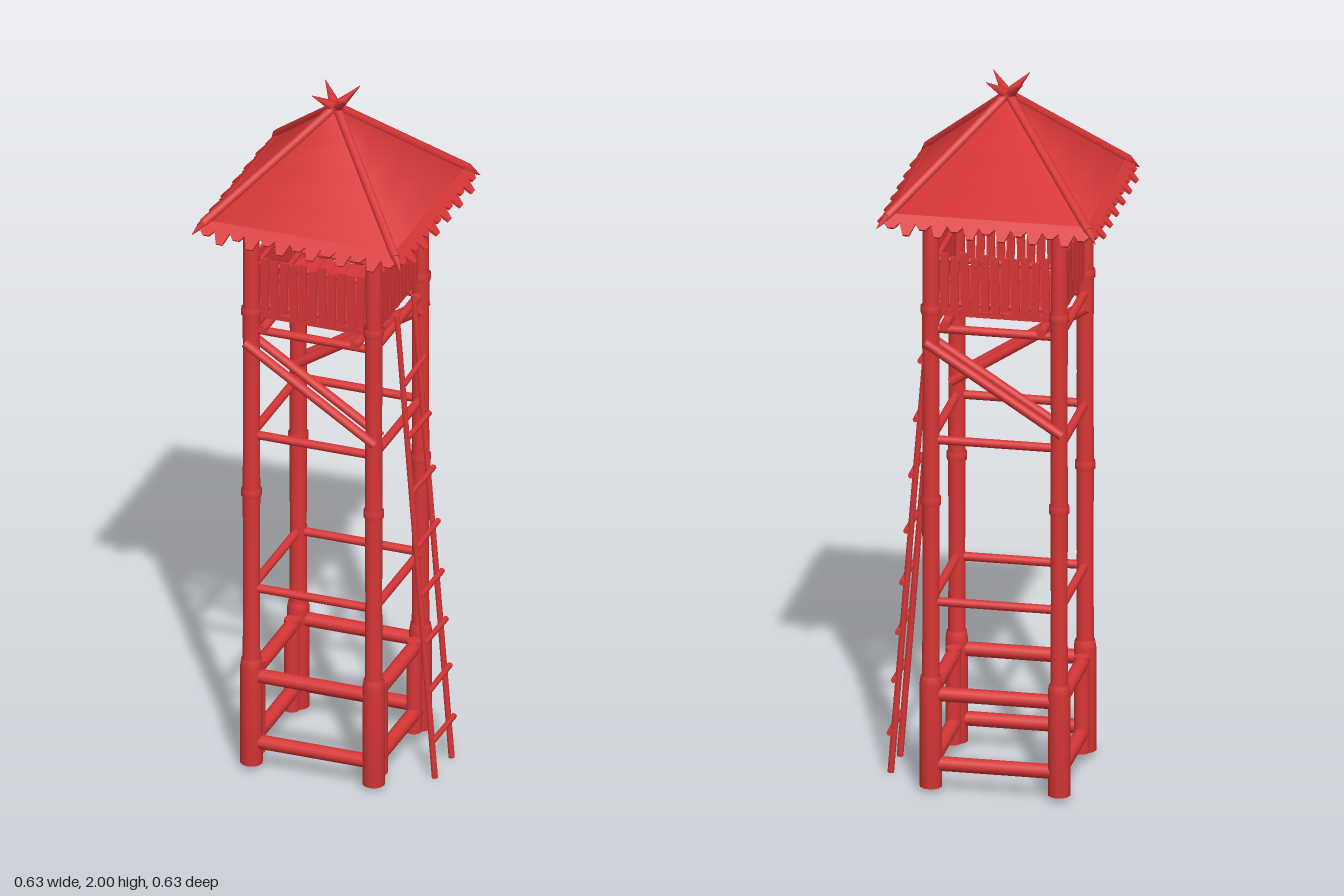
import * as THREE from 'three';

const mat = new THREE.MeshStandardMaterial({ color: 0xd83636, side: THREE.DoubleSide });
const P = 0.176; // half distance between posts
const V = (x, y, z) => new THREE.Vector3(x, y, z);

function add(parent, name, geometry) {
  const mesh = new THREE.Mesh(geometry, mat);
  mesh.name = name;
  parent.add(mesh);
  return mesh;
}

// Round pole from a to b
function pole(parent, name, a, b, r, rEnd = r, sides = 10) {
  const dir = b.clone().sub(a);
  const mesh = add(parent, name, new THREE.CylinderGeometry(rEnd, r, dir.length(), sides));
  mesh.position.copy(a).add(b).multiplyScalar(0.5);
  mesh.quaternion.setFromUnitVectors(V(0, 1, 0), dir.normalize());
  return mesh;
}

// Four copies of a part, one per face of the tower
function fourSides(parent, name, build) {
  for (let i = 0; i < 4; i++) {
    const side = new THREE.Group();
    side.name = name;
    side.rotation.y = i * Math.PI / 2;
    build(side, i);
    parent.add(side);
  }
}

// Bamboo-like post with swollen joints
function addPosts(tower) {
  const profile = [[0, 0.015], [0.031, 0.015], [0.031, 0.31], [0.028, 0.33], [0.024, 0.335],
    [0.023, 0.58], [0.024, 0.82], [0.028, 0.825], [0.028, 0.845], [0.024, 0.85],
    [0.023, 1.1], [0.024, 1.37], [0.028, 1.375], [0.028, 1.395], [0.023, 1.4],
    [0.022, 1.73], [0, 1.73]].map(([r, y]) => new THREE.Vector2(r, y));
  for (const x of [-P, P]) for (const z of [-P, P]) {
    add(tower, 'post', new THREE.LatheGeometry(profile, 12)).position.set(x, 0, z);
    // Short pole strengthening the foot
    const zi = Math.sign(z) * 0.128;
    pole(tower, 'footPole', V(x, 0.025, zi), V(x, 0.3, zi), 0.021, 0.021, 12);
  }
}

// Horizontal beams, diagonal braces and floor
function addFrame(tower) {
  fourSides(tower, 'sideBeams', (side) => {
    for (const [y, r] of [[0.08, 0.02], [0.28, 0.02], [0.545, 0.012], [1.01, 0.012], [1.33, 0.012], [1.7, 0.014]])
      pole(side, 'beam', V(-P + 0.01, y, P), V(P - 0.01, y, P), r);
  });
  // Paired braces clamp the posts on the front and back
  for (const s of [1, -1]) for (const z of [P + 0.023, P - 0.03])
    pole(tower, 'diagonalBrace', V(-0.187 * s, 1.295, z * s), V(0.187 * s, 1.055, z * s), 0.013);
  for (const x of [-0.133, 0.133])
    pole(tower, 'floorBeam', V(x, 1.35, -0.21), V(x, 1.35, 0.21), 0.013);
  for (let i = 0; i < 9; i++)
    add(tower, 'floorPlank', new THREE.BoxGeometry(0.037, 0.016, 0.35))
      .position.set((i - 4) * 0.0385, 1.376, 0);
}

// Uneven slat railing
function addRailing(tower) {
  fourSides(tower, 'railing', (side, s) => {
    for (const y of [1.4, 1.525])
      pole(side, 'rail', V(-P, y, P - 0.012), V(P, y, P - 0.012), 0.008, 0.008, 8);
    for (let i = 0; i < 11; i++) {
      const wobble = Math.sin(i * 2.3 + s * 1.7);
      const slat = add(side, 'slat', new THREE.BoxGeometry(0.022, 0.162 + 0.007 * wobble, 0.008));
      slat.position.set(-0.138 + i * 0.0276, 1.464 + 0.004 * Math.cos(i * 3.1), P);
      slat.rotation.z = 0.03 * wobble;
    }
  });
}

// Pyramid roof with ragged eaves, hip poles and crossed tips
function addRoof(tower) {
  const half = 0.283, eave = 1.672, top = 1.95;
  const cone = new THREE.CylinderGeometry(0.004, half * Math.SQRT2, top - eave, 4, 4, true, Math.PI / 4);
  add(tower, 'roof', cone).position.y = (top + eave) / 2;

  // Alternating long and short thatch teeth
  const fringe = new THREE.Shape();
  const n = 13, pitch = 2 * half / n;
  fringe.moveTo(-half + 0.012, 0.02);
  for (let i = 0; i < n; i++) {
    const c = -half + pitch * (i + 0.5), depth = i % 2 ? 0.041 : 0.022;
    fringe.lineTo(c - pitch / 2, -0.006);
    fringe.lineTo(c - 0.009, -depth);
    fringe.lineTo(c + 0.009, -depth);
  }
  fringe.lineTo(half, -0.006);
  fringe.lineTo(half - 0.012, 0.02);
  const fringeGeo = new THREE.ExtrudeGeometry(fringe, { depth: 0.008, bevelEnabled: false });
  fringeGeo.translate(0, 0, -0.006);
  fringeGeo.rotateX(-Math.PI / 4);
  fourSides(tower, 'eaves', (side) => {
    add(side, 'thatchFringe', fringeGeo).position.set(0, eave, half);
    pole(side, 'hipPole', V(0.276, 1.68, 0.276), V(0, 1.952, 0), 0.013, 0.013, 8);
    pole(side, 'hipTip', V(0.276, 1.68, 0.276), V(0.3, 1.652, 0.3), 0.012, 0.001, 8);
    pole(side, 'crossedTip', V(-0.008, 1.94, -0.008), V(0.05, 1.998, 0.05), 0.02, 0.001, 6);
  });
}

// Leaning ladder on the left side
function addLadder(group) {
  const ladder = new THREE.Group();
  ladder.name = 'ladder';
  const xAt = (y) => 0.301 - 0.079 * y;
  for (const z of [-0.063, 0.063])
    pole(ladder, 'ladderRail', V(xAt(0.002), 0.002, z), V(xAt(1.385), 1.385, z), 0.009, 0.008, 8);
  [0.12, 0.27, 0.412, 0.555, 0.702, 0.865, 1.027, 1.19].forEach((y, i) => {
    const x = xAt(y) + 0.01, tilt = i === 7 ? 0.005 : 0.002 * Math.sin(i * 2);
    pole(ladder, 'rung', V(x, y - tilt, 0.08), V(x, y + tilt, -0.08), 0.008, 0.008, 8);
  });
  group.add(ladder);
}

export function createModel() {
  const model = new THREE.Group();
  model.name = 'watchtower';
  const tower = new THREE.Group();
  tower.name = 'tower';
  tower.position.x = -0.008;
  addPosts(tower);
  addFrame(tower);
  addRailing(tower);
  addRoof(tower);
  model.add(tower);
  addLadder(model);
  return model;
}
